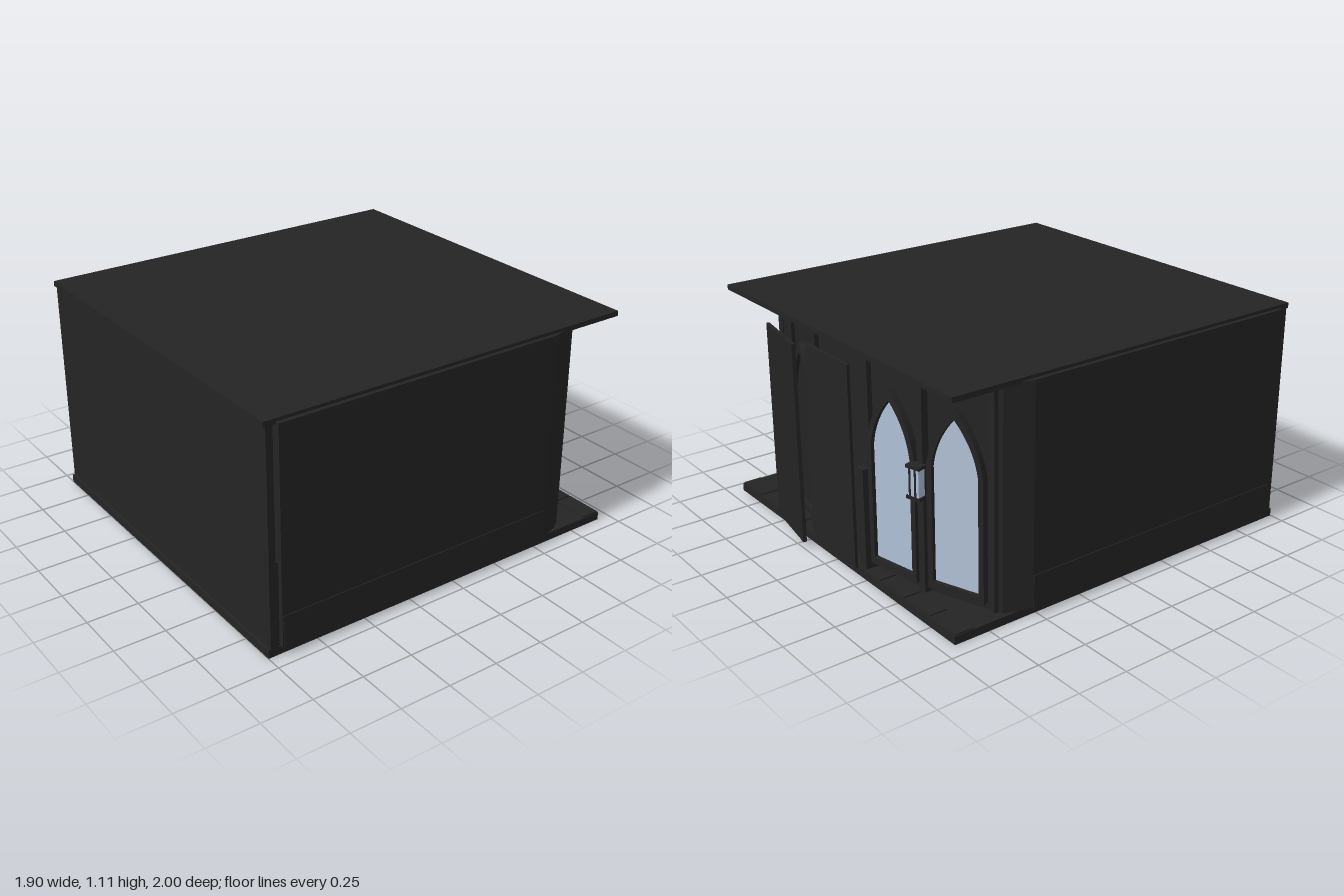
import * as THREE from 'three';

export function createModel() {
  const model = new THREE.Group();
  const dark = new THREE.MeshStandardMaterial({ color: 0x242424 });
  dark.name = 'charcoal';
  const glass = new THREE.MeshStandardMaterial({ color: 0xb0c0d6 });
  glass.name = 'paleBlueGlass';

  const add = (name, geometry, material = dark, parent = model) => {
    const mesh = new THREE.Mesh(geometry, material);
    mesh.name = name;
    parent.add(mesh);
    return mesh;
  };
  // Box given by its limits on each axis
  const box = (name, x0, x1, y0, y1, z0, z1) => {
    const m = add(name, new THREE.BoxGeometry(x1 - x0, y1 - y0, z1 - z0));
    m.position.set((x0 + x1) / 2, (y0 + y1) / 2, (z0 + z1) / 2);
    return m;
  };

  // Floor and roof slabs
  box('floorSlab', -0.925, 0.925, 0, 0.04, -0.93, 1);
  box('roofSlab', -0.925, 0.925, 1.08, 1.105, -0.93, 1);

  // Walls: straight sides, chamfered corners and a faceted bow at the back
  const half = [[0.945, 0.94], [0.945, -0.53], [0.9, -0.66], [0.83, -0.69], [0.53, -0.8], [0.23, -0.86]];
  const outline = [...half, ...half.map(([x, z]) => [-x, z]).reverse()];
  const wallShape = new THREE.Shape(outline.map(([x, z]) => new THREE.Vector2(x, -z)));
  const walls = new THREE.ExtrudeGeometry(wallShape, { depth: 1.05, bevelEnabled: false });
  walls.rotateX(-Math.PI / 2).translate(0, 0.04, 0);
  add('walls', walls);

  // Front wall, standing just clear of the sides, with a low filler behind it
  box('frontWall', -0.925, 0.925, 0.04, 1.08, 0.955, 0.988);
  box('frontFiller', -0.92, 0.92, 0.04, 0.45, 0.935, 0.96);

  for (const s of [-1, 1]) {
    const side = s < 0 ? 'Right' : 'Left';
    // Skirting and slim posts along the bow
    box('skirting' + side, s * 0.945 - 0.005, s * 0.945 + 0.005, 0.04, 0.2, -0.53, 0.935);
    [[0.86, -0.67, 0.02], [0.535, -0.8, 0.022], [0.215, -0.86, 0.022]].forEach(([x, z, r]) =>
      box('bowPost' + side, s * x - r, s * x + r, 0.04, 1.08, z - r, z + r));
    // Low pedestal beside the door
    box('pedestal' + side, s * 0.21 - 0.025, s * 0.21 + 0.025, 0.04, 0.54, -0.92, -0.86);
    // Porch paving
    for (let i = 0; i < 4; i++) {
      const x = s * (0.83 - i * 0.19);
      box('paver' + side, x - 0.09, x + 0.09, 0.04, 0.046, -0.925, -0.83);
    }
  }

  // Pointed arch outline
  const arch = (w, y0, spring, top, Type) => {
    const p = new Type();
    p.moveTo(-w, y0);
    p.lineTo(w, y0);
    p.lineTo(w, spring);
    p.quadraticCurveTo(w * 0.85, spring + (top - spring) * 0.55, 0, top);
    p.quadraticCurveTo(-w * 0.85, spring + (top - spring) * 0.55, -w, spring);
    return p;
  };
  const frameShape = arch(0.143, 0.075, 0.66, 0.95, THREE.Shape);
  frameShape.holes.push(arch(0.117, 0.11, 0.66, 0.9, THREE.Path));
  const frameGeo = new THREE.ExtrudeGeometry(frameShape, { depth: 0.032, bevelEnabled: false, curveSegments: 10 });
  const paneGeo = new THREE.ExtrudeGeometry(arch(0.119, 0.105, 0.66, 0.903, THREE.Shape),
    { depth: 0.008, bevelEnabled: false, curveSegments: 10 });

  // Arched windows facing outward from the bow
  const archedWindow = (name, x, z, nx, nz, material) => {
    const g = new THREE.Group();
    g.name = name;
    g.position.set(x, 0, z);
    g.rotation.y = Math.atan2(nx, nz);
    add('windowFrame', frameGeo, dark, g);
    add('windowPane', paneGeo, material, g).position.z = 0.004;
    model.add(g);
  };
  archedWindow('innerWindow', -0.368, -0.834, -0.196, -0.98, glass);
  archedWindow('outerWindow', -0.7, -0.739, -0.344, -0.939, glass);
  archedWindow('blindWindow', 0.368, -0.834, 0.196, -0.98, dark);

  // Wall lantern between the windows
  const lantern = new THREE.Group();
  lantern.name = 'lantern';
  lantern.position.set(-0.54, 0.58, -0.845);
  lantern.rotation.y = 0.27;
  add('lanternGlass', new THREE.BoxGeometry(0.06, 0.13, 0.04), glass, lantern);
  [-0.072, 0.072].forEach(y => {
    add('lanternCap', new THREE.BoxGeometry(0.075, 0.015, 0.05), dark, lantern).position.y = y;
  });
  [-0.012, 0.018].forEach(x => {
    add('lanternBar', new THREE.BoxGeometry(0.009, 0.14, 0.046), dark, lantern).position.x = x;
  });
  model.add(lantern);

  // Door leaves: one closed in the middle, one swung open
  box('closedDoor', -0.18, 0.17, 0.035, 1.02, -0.945, -0.93);
  const openDoor = box('openDoor', 0.19, 0.525, 0.03, 1.02, -0.975, -0.96);
  openDoor.position.z = -0.964;
  openDoor.rotation.y = -0.165;
  const jamb = box('openDoorJamb', 0.19, 0.225, 0.03, 1.02, -0.998, -0.98);
  jamb.rotation.y = -0.165;

  return model;
}
